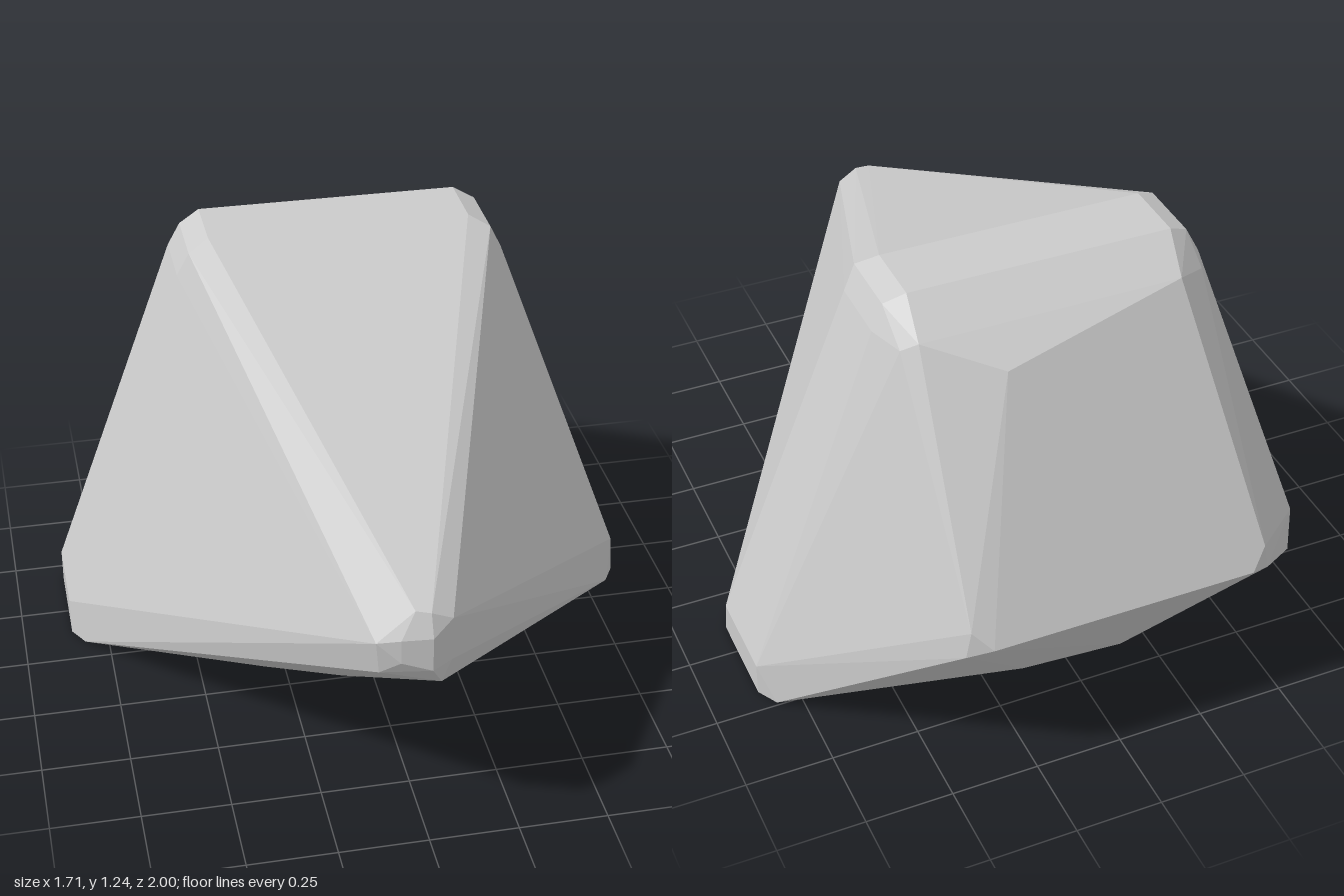
import * as THREE from 'three';
import { ConvexGeometry } from 'three/addons/geometries/ConvexGeometry.js';

const v = ([x, y, z]) => new THREE.Vector3(x, y, z);

// Corners that occur on both sides of the rock
const mirrored = [
  // top ridge and its bevelled ends
  [0.38, 1.24, -0.24], [0.38, 1.24, -0.43],
  [0.44, 1.21, -0.21], [0.44, 1.21, -0.41],
  [0.475, 1.14, -0.22], [0.475, 1.14, -0.42],
  // blunt side corners at the ground
  [0.855, 0, -0.14], [0.855, 0, -0.43], [0.855, 0.1, -0.16], [0.855, 0.1, -0.43],
  [0.82, 0, -0.08], [0.82, 0, -0.49],
  // back ridge
  [0.38, 0.48, -1], [0.43, 0.53, -0.965], [0.445, 0.45, -0.965],
];

// Corners that occur once
const single = [
  // blunt nose
  [0, 0.67, 1], [0, 0.57, 1], [-0.08, 0.66, 0.98], [-0.08, 0.59, 0.98],
  [-0.14, 0.64, 0.95], [-0.13, 0.54, 0.94], [0.03, 0.51, 0.97],
  [0.06, 0.57, 0.96], [0.06, 0.7, 0.96], [0, 0.73, 0.97], [-0.04, 0.735, 0.96],
  // rear shoulder
  [0.2, 1.1, -0.67], [0.4, 1.17, -0.56], [-0.35, 1.17, -0.56],
  [0.44, 1.14, -0.53], [-0.45, 1.13, -0.49],
  // front and back of the footprint
  [-0.31, 0, 0.15], [-0.09, 0, 0.24], [0.1, 0, 0.22],
  [0.13, 0, -0.64], [-0.17, 0, -0.66],
];

export function createModel() {
  const group = new THREE.Group();
  group.name = 'rock';
  const points = [...single.map(v)];
  for (const [x, y, z] of mirrored) points.push(v([x, y, z]), v([-x, y, z]));

  // Faceted boulder wrapped around the corners
  const boulder = new THREE.Mesh(
    new ConvexGeometry(points),
    new THREE.MeshStandardMaterial({ color: 0xcccccc, flatShading: true })
  );
  boulder.name = 'boulder';
  group.add(boulder);
  return group;
}
